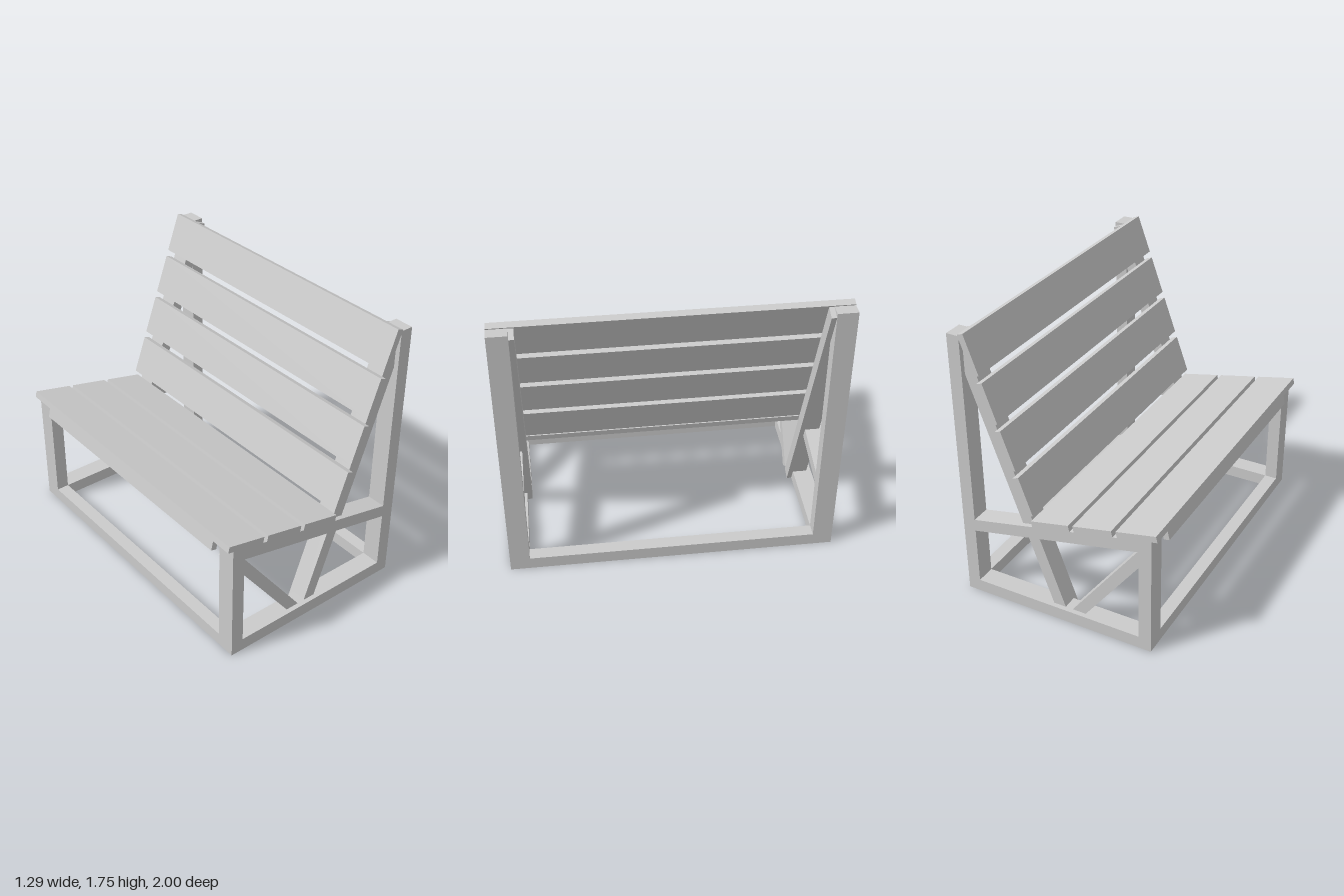
import * as THREE from 'three';

const material = new THREE.MeshStandardMaterial({ color: 0xcccccc });

export function createModel() {
  const bench = new THREE.Group();
  bench.name = 'bench';

  const add = (name, geometry) => {
    const mesh = new THREE.Mesh(geometry, material);
    mesh.name = name;
    bench.add(mesh);
    return mesh;
  };

  // Side outline in x/y, extruded from z0 to z1
  const prism = (name, points, z0, z1) => {
    const shape = new THREE.Shape(points.map(([x, y]) => new THREE.Vector2(x, y)));
    const geometry = new THREE.ExtrudeGeometry(shape, { depth: z1 - z0, bevelEnabled: false });
    geometry.translate(0, 0, z0);
    return add(name, geometry);
  };

  // Rectangular bar whose centre line runs between two x/y points
  const bar = (name, [ax, ay], [bx, by], width, z0, z1) => {
    const geometry = new THREE.BoxGeometry(Math.hypot(bx - ax, by - ay), width, z1 - z0);
    const mesh = add(name, geometry);
    mesh.position.set((ax + bx) / 2, (ay + by) / 2, (z0 + z1) / 2);
    mesh.rotation.z = Math.atan2(by - ay, bx - ax);
  };

  const rect = (x0, y0, x1, y1) => [[x0, y0], [x1, y0], [x1, y1], [x0, y1]];
  const slope = -0.211;                                   // seat pitch
  const railTop = (x) => 0.757 + slope * (x + 0.53);
  const railBottom = (x) => railTop(x) - 0.078;

  // End frames, mirrored in z
  for (const side of [1, -1]) {
    const span = (a, b) => (side > 0 ? [a, b] : [-b, -a]);
    const frame = span(0.88, 1);
    const inset = span(0.85, 0.97);
    prism('rearPost', rect(0.56, 0, 0.64, 1.73), ...frame);
    prism('frontLeg', [[-0.61, 0], [-0.53, 0], [-0.53, railBottom(-0.53)], [-0.61, railBottom(-0.61)]], ...frame);
    prism('baseEndRail', rect(-0.53, 0, 0.56, 0.08), ...frame);
    prism('seatRail', [
      [-0.61, railBottom(-0.61)], [0.56, railBottom(0.56)],
      [0.56, railTop(0.56)], [-0.61, railTop(-0.61)],
    ], ...frame);
    bar('backSupport', [-0.015, 0.013], [0.603, 1.716], 0.075, ...inset);
    bar('frontBrace', [-0.08, 0.024], [-0.565, 0.67], 0.07, ...inset);
  }

  // Long base rails joining the end frames
  prism('baseRearRail', rect(0.56, 0, 0.64, 0.08), -0.88, 0.88);
  prism('baseFrontRail', rect(-0.61, 0, -0.53, 0.08), -0.88, 0.88);

  // Seat slats resting on the sloped rails
  const seatDir = new THREE.Vector2(1, slope).normalize();
  const seatStart = new THREE.Vector2(-0.641, 0.8);
  for (let i = 0; i < 3; i++) {
    const a = seatStart.clone().addScaledVector(seatDir, i * 0.282);
    const b = a.clone().addScaledVector(seatDir, 0.253);
    bar('seatSlat', [a.x, a.y], [b.x, b.y], 0.04, -1, 1);
  }

  // Narrow board under the front edge of the seat
  bar('seatApron', [-0.626, 0.698], [-0.609, 0.777], 0.036, -0.85, 0.85);

  // Back slats fixed to the front of the leaning supports
  const backDir = new THREE.Vector2(0.341, 0.94);
  const backStart = new THREE.Vector2(0.165, 0.682);
  for (let i = 0; i < 4; i++) {
    const a = backStart.clone().addScaledVector(backDir, i * 0.293);
    const b = a.clone().addScaledVector(backDir, 0.25);
    bar('backSlat', [a.x, a.y], [b.x, b.y], 0.04, -1, 1);
  }

  return bench;
}
